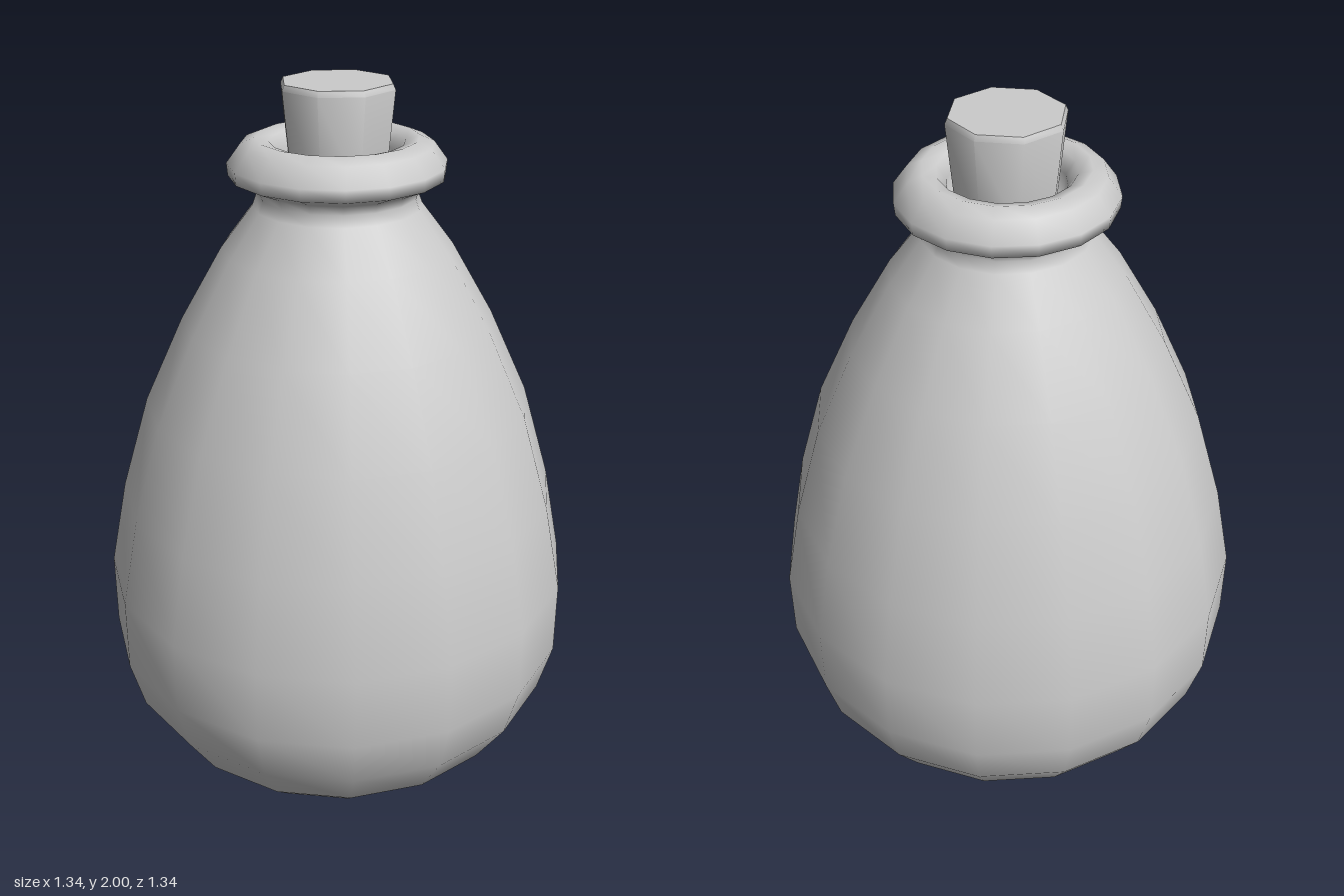
import * as THREE from 'three';
import { toCreasedNormals } from 'three/addons/utils/BufferGeometryUtils.js';

const material = new THREE.MeshStandardMaterial({ color: 0xcccccc });

// Turn a [radius, height] profile, listed from the bottom up the outside
function turn(name, profile, sides, crease) {
  let geometry = new THREE.LatheGeometry(profile.map(([r, y]) => new THREE.Vector2(r, y)), sides);
  if (crease) geometry = toCreasedNormals(geometry, crease);
  const mesh = new THREE.Mesh(geometry, material);
  mesh.name = name;
  return mesh;
}

export function createModel() {
  const bottle = new THREE.Group();
  bottle.name = 'corkedBottle';

  // Base, belly, neck, rolled lip and the inside of the throat
  bottle.add(turn('bottleBody', [
    [0, 0], [0.38, 0], [0.45, 0.03], [0.54, 0.11], [0.63, 0.245],
    [0.67, 0.39], [0.67, 0.6], [0.62, 0.85], [0.54, 1.12], [0.43, 1.36],
    [0.315, 1.56], [0.228, 1.675], [0.217, 1.705], [0.225, 1.73],
    [0.29, 1.757], [0.293, 1.79], [0.256, 1.84], [0.217, 1.856],
    [0.18, 1.845], [0.155, 1.81], [0.145, 1.72], [0, 1.72],
  ], 16));

  // Tapered eight-sided stopper with a small bevel around the top
  bottle.add(turn('stopper', [
    [0, 1.73], [0.132, 1.73], [0.157, 1.985], [0.15, 2], [0, 2],
  ], 8, 0.9));

  return bottle;
}
